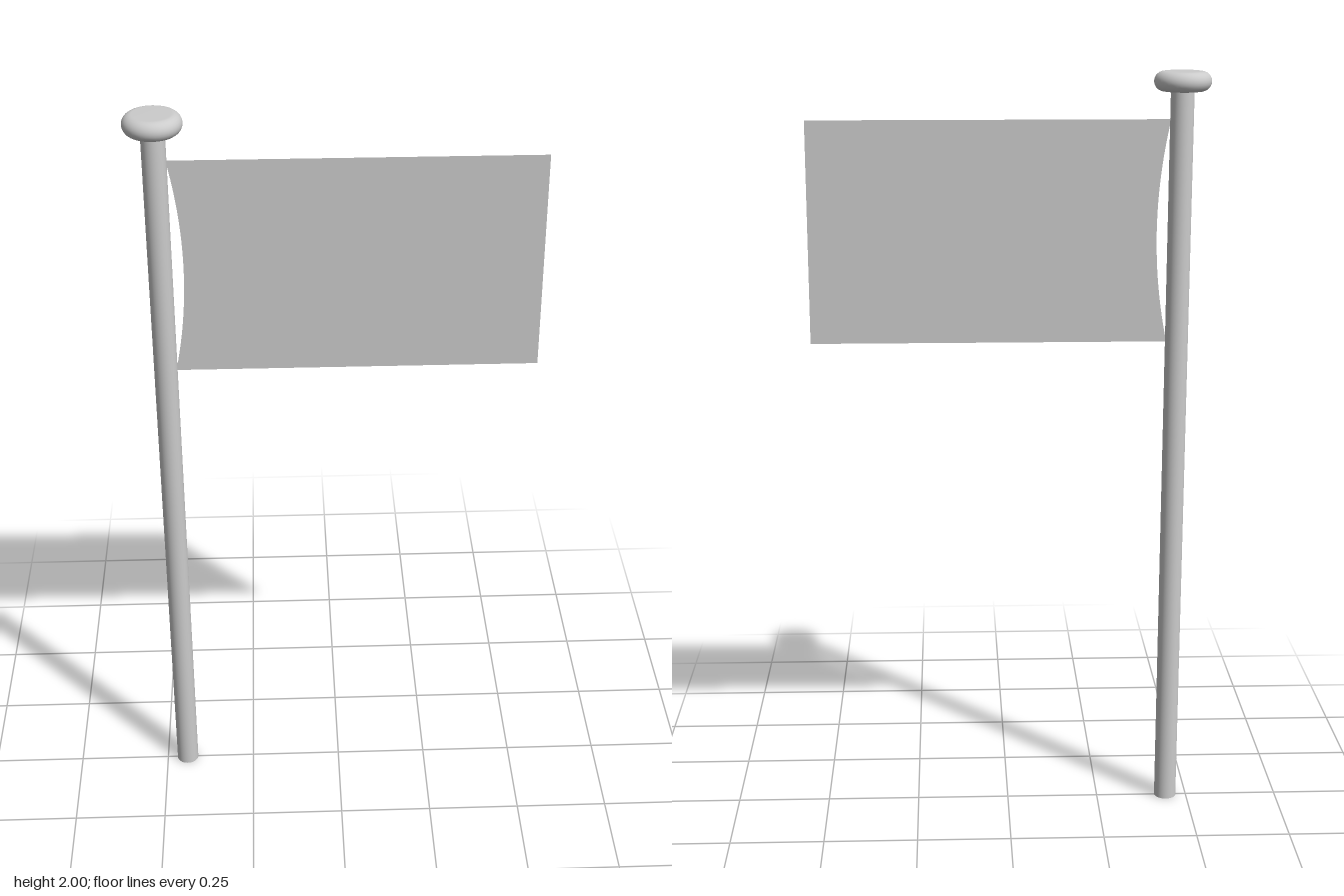
import * as THREE from 'three';

export function createModel() {
  const group = new THREE.Group();
  const poleX = -0.442;
  const poleRadius = 0.03;
  const grey = new THREE.MeshStandardMaterial({ color: 0xcccccc });
  const cloth = new THREE.MeshStandardMaterial({ color: 0xcccccc, side: THREE.DoubleSide });

  const add = (name, geometry, material, x, y) => {
    const mesh = new THREE.Mesh(geometry, material);
    mesh.name = name;
    mesh.position.set(x, y, 0);
    group.add(mesh);
  };

  // Straight round pole
  add('pole', new THREE.CylinderGeometry(poleRadius, poleRadius, 1.96, 32), grey, poleX, 0.98);

  // Flattened cap: a disc with a fully rounded rim
  const capRadius = 0.073, half = 0.025, rimSteps = 12;
  const profile = [new THREE.Vector2(0, -half)];
  for (let i = 0; i <= rimSteps; i++) {
    const a = -Math.PI / 2 + (Math.PI * i) / rimSteps;
    profile.push(new THREE.Vector2(capRadius - half + half * Math.cos(a), half * Math.sin(a)));
  }
  profile.push(new THREE.Vector2(0, half));
  add('poleCap', new THREE.LatheGeometry(profile, 40), grey, poleX, 2 - half);

  // Flag sheet, tied at its two corners, with the edge by the pole bowed away
  const left = -0.415, right = 0.514, bottom = 1.304, top = 1.88;
  const outline = new THREE.Shape();
  outline.moveTo(left, bottom);
  outline.lineTo(right, bottom);
  outline.lineTo(right, top);
  outline.lineTo(left, top);
  outline.quadraticCurveTo(left + 0.062, (top + bottom) / 2, left, bottom);
  add('flag', new THREE.ShapeGeometry(outline, 24), cloth, 0, 0);

  return group;
}
